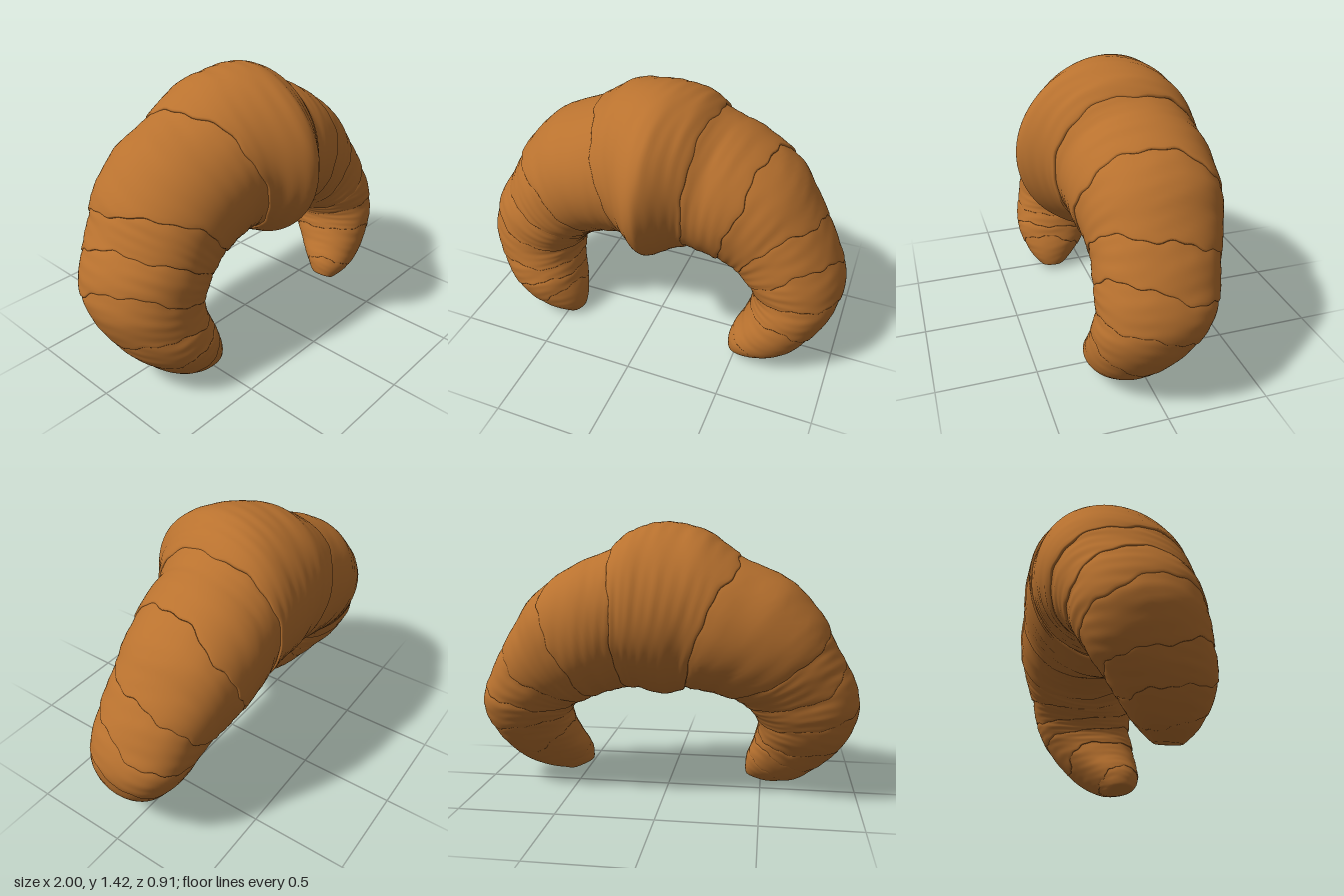
import * as THREE from 'three';

// Stations along the roll: outer x, outer y, inner x, inner y, back z, front z
const stations = [
  [-0.56, 0.01, -0.41, 0.04, 0.10, 0.25], [-0.70, 0.05, -0.42, 0.15, -0.01, 0.31],
  [-0.84, 0.165, -0.46, 0.27, -0.12, 0.35], [-0.94, 0.30, -0.48, 0.37, -0.22, 0.335],
  [-1.00, 0.48, -0.46, 0.43, -0.285, 0.31], [-0.96, 0.66, -0.42, 0.48, -0.325, 0.305],
  [-0.87, 0.815, -0.37, 0.52, -0.37, 0.30], [-0.80, 0.96, -0.31, 0.545, -0.41, 0.30],
  [-0.635, 1.14, -0.24, 0.565, -0.435, 0.31], [-0.39, 1.265, -0.15, 0.575, -0.445, 0.315],
  [-0.21, 1.385, -0.09, 0.57, -0.445, 0.35], [0.00, 1.43, 0.02, 0.535, -0.45, 0.455],
  [0.17, 1.39, 0.13, 0.57, -0.445, 0.36], [0.30, 1.29, 0.20, 0.575, -0.44, 0.30],
  [0.46, 1.22, 0.30, 0.555, -0.44, 0.285], [0.67, 1.08, 0.39, 0.52, -0.42, 0.255],
  [0.80, 0.90, 0.45, 0.49, -0.375, 0.25], [0.925, 0.69, 0.50, 0.465, -0.325, 0.26],
  [1.00, 0.50, 0.54, 0.42, -0.285, 0.265], [0.97, 0.33, 0.545, 0.355, -0.215, 0.285],
  [0.86, 0.155, 0.515, 0.26, -0.10, 0.29], [0.73, 0.065, 0.47, 0.17, 0.01, 0.28],
  [0.58, 0.03, 0.46, 0.08, 0.10, 0.24],
];
const last = stations.length - 1;
const curve = (a, b, c) => new THREE.CatmullRomCurve3(
  stations.map(s => new THREE.Vector3(s[a], s[b], s[c])), false, 'catmullrom', 0.5);
const outerCurve = curve(0, 1, 4);
const innerCurve = curve(2, 3, 5);

// Pastry edges: station on the outside of the bend, on the inside, and the lean from front to back
const seams = [
  [0.8, 1.5, 0.3], [1.9, 2.1, 0.3], [3.0, 2.6, 0.45], [4.5, 3.7, 0.5], [5.6, 5.2, 0.5], [6.7, 7.0, 0.5],
  [9.1, 10, 0.1],
  [12.6, 12.8, -0.1], [14.5, 14.7, -0.3],
  [16.3, 15.8, -0.5], [17.3, 17.1, -0.5], [18.5, 18.1, -0.5], [19.8, 19.2, -0.4], [21.4, 20.9, -0.3],
];
const centre = 7; // index of the middle layer

// Station of a wavy edge at angle q (0 = outside of bend, PI/2 = front)
function seamAt(k, q) {
  if (k < 0) return 0;
  if (k >= seams.length) return last;
  const [o, i, lean] = seams[k];
  const wave = 0.07 * Math.sin(3 * q + k * 2.1) + 0.045 * Math.sin(7 * q + k * 4.7) + 0.025 * Math.sin(17 * q + k);
  return (o + i) / 2 + (o - i) / 2 * Math.cos(q) + lean * Math.sin(q) + wave;
}

// Point on the roll; rho scales the cross-section
function surfacePoint(t, q, rho) {
  const u = THREE.MathUtils.clamp(t / last, 0, 1);
  const o = outerCurve.getPoint(u), i = innerCurve.getPoint(u);
  // The arms are slightly squarer in section than the middle
  const square = 1 + 0.025 * Math.min(1, Math.abs(t - last / 2) / 5) * Math.sin(2 * q) ** 2;
  const c = Math.cos(q) * rho * square, s = Math.sin(q) * rho * square;
  return [
    (o.x + i.x) / 2 + (o.x - i.x) / 2 * c,
    (o.y + i.y) / 2 + (o.y - i.y) / 2 * c,
    (o.z + i.z) / 2 + (i.z - o.z) / 2 * s - 0.015 * (c + c * c), // outside of the bend leans back
  ];
}

// Fine creases that run around the roll, fading in and out
function wrinkle(t, q, k) {
  const bend = t * 7 + 1.3 * Math.sin(q + k) + 0.6 * Math.sin(3 * q - k);
  return 0.006 * Math.sin(bend) * Math.sin(2 * q + t * 0.8 + k)
    + 0.004 * Math.sin(2.3 * bend + 2 * q) * Math.cos(3 * q + k)
    + 0.004 * Math.sin(4 * q + t * 1.1 + k * 3);
}

// Rows across one layer: [fraction of the width, section scale, station shift]
function layerRows(k) {
  const rows = [];
  const leftLip = k <= centre, rightLip = k >= centre;
  const first = k === 0, end = k === seams.length;
  const steps = k === centre ? 36 : 18;
  if (first) rows.push([0, 0.001, 0], [0, 0.4, 0], [0, 0.75, 0]);
  else if (leftLip) rows.push([0, 0.955, 0.02], [0, 0.975, -0.04], [0, 0.995, -0.03]);
  else rows.push([0, 0.96, -0.1]);
  for (let j = 0; j <= steps; j++) {
    const f = j / steps;
    // Each layer is low where it emerges and swells toward its exposed edge
    const buried = 0.028 * ((rightLip ? 0 : Math.exp(-(1 - f) * 5)) + (leftLip ? 0 : Math.exp(-f * 5)));
    const tip = first ? 0.09 * Math.exp(-f * 10) : end ? 0.09 * Math.exp(-(1 - f) * 10) : 0;
    rows.push([f, 1.004 - buried - tip, 0]);
  }
  if (end) rows.push([1, 0.75, 0], [1, 0.4, 0], [1, 0.001, 0]);
  else if (rightLip) rows.push([1, 0.995, 0.03], [1, 0.975, 0.04], [1, 0.955, -0.02]);
  else rows.push([1, 0.96, 0.1]);
  return rows;
}

function layerGeometry(k) {
  const cols = 96, rows = layerRows(k), positions = [], index = [];
  rows.forEach(([f, rho, shift], r) => {
    for (let c = 0; c < cols; c++) {
      const q = c / cols * Math.PI * 2;
      const t = THREE.MathUtils.lerp(seamAt(k - 1, q), seamAt(k, q), f) + shift;
      const rough = rho > 0.9 ? wrinkle(t, q, k) : 0;
      positions.push(...surfacePoint(t, q, rho + rough));
      if (r === rows.length - 1) continue;
      const n = (c + 1) % cols;
      const a = r * cols + c, b = r * cols + n, d = a + cols, e = b + cols;
      index.push(a, b, d, b, e, d);
    }
  });
  const geometry = new THREE.BufferGeometry();
  geometry.setAttribute('position', new THREE.Float32BufferAttribute(positions, 3));
  geometry.setIndex(index);
  geometry.computeVertexNormals();
  return geometry;
}

export function createModel() {
  const crust = new THREE.MeshStandardMaterial({ color: 0xb9722f });
  crust.name = 'golden crust';
  const model = new THREE.Group();
  model.name = 'croissant';
  for (let k = 0; k <= seams.length; k++) {
    const mesh = new THREE.Mesh(layerGeometry(k), crust);
    const side = k < centre ? 'right' : 'left';
    mesh.name = k === centre ? 'middleLayer'
      : k === 0 || k === seams.length ? side + 'Tip'
      : side + 'Layer' + Math.abs(k - centre);
    model.add(mesh);
  }
  // Rest on the ground, centred
  const box = new THREE.Box3().setFromObject(model);
  const mid = box.getCenter(new THREE.Vector3());
  model.children.forEach(m => m.geometry.translate(-mid.x, -box.min.y, -mid.z));
  return model;
}
